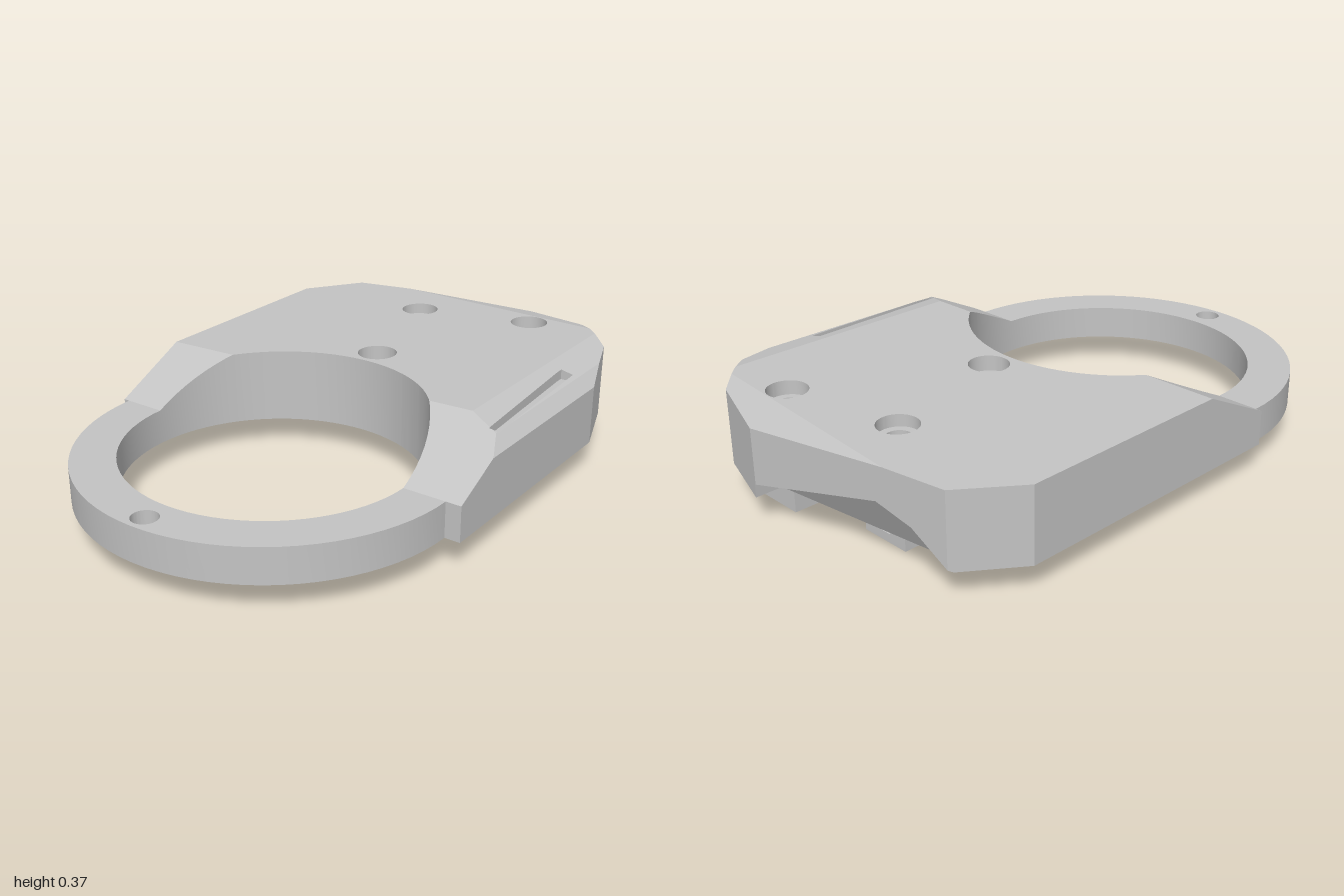
import * as THREE from 'three';
import { toCreasedNormals } from 'three/addons/utils/BufferGeometryUtils.js';

const gray = new THREE.MeshStandardMaterial({ color: 0xc4c4c4 });
gray.name = 'gray plastic';

// Arc points in plan, [x, z]
const arc = (x, z, r, n = 48, a0 = 0, a1 = Math.PI * 2) =>
  Array.from({ length: n + 1 }, (_, i) => {
    const a = a0 + (a1 - a0) * i / n;
    return [x + r * Math.cos(a), z + r * Math.sin(a)];
  });
const circle = (x, z, r, n = 48) => arc(x, z, r, n).slice(0, n);

// Plan points as shape points, wound the given way round
function wound(pts, clockwise) {
  const v = pts.map(([x, z]) => new THREE.Vector2(x, -z));
  return THREE.ShapeUtils.isClockWise(v) === clockwise ? v : v.reverse();
}

// Upright prism from a plan outline, with holes
function prism(outline, holes, y0, y1) {
  const shape = new THREE.Shape(wound(outline, false));
  shape.holes = holes.map(h => new THREE.Path(wound(h, true)));
  const g = new THREE.ExtrudeGeometry(shape, { depth: y1 - y0, bevelEnabled: false });
  g.rotateX(-Math.PI / 2);
  g.translate(0, y0, 0);
  return g;
}

// Cut every triangle along the vertical plane f(x, z) = 0
function splitTriangles(tris, f) {
  const out = [];
  for (const t of tris) {
    const d = t.map(p => f(p.x, p.z));
    if (d.every(v => v > -1e-6) || d.every(v => v < 1e-6)) { out.push(t); continue; }
    for (const s of [1, -1]) {
      const poly = [];
      for (let i = 0; i < 3; i++) {
        const j = (i + 1) % 3;
        if (d[i] * s >= 0) poly.push(t[i]);
        if (d[i] * d[j] < 0) {
          // cut from a fixed side so neighbouring edges agree
          const [p, q] = d[i] > 0 ? [i, j] : [j, i];
          poly.push(t[p].clone().lerp(t[q], d[p] / (d[p] - d[q])));
        }
      }
      for (let i = 1; i + 1 < poly.length; i++) out.push([poly[0], poly[i], poly[i + 1]]);
    }
  }
  return out;
}

// Upper facets: ramp, deck, two front chamfers, end chamfer
const deck = (x, z) => 0.362 + 0.017 * z;
const RING_TOP = 0.22, BASE = 0.10;
const topPlanes = [
  x => RING_TOP + 0.48 * (x + 0.36),
  deck,
  (x, z) => 0.371 - 0.226 * (z - 0.52),
  (x, z) => 0.345 - (z - 0.635),
  (x, z) => deck(x, z) - 0.245 * (x - 0.888 + 0.0625 * z),
];
// Facets of the hollow under the end edge
const hollowPlanes = [
  (x, z) => 0.147 + 0.2 * (0.18 - z),
  (x, z) => 0.2 + 0.35 * (z + 0.42),
  (x, z) => BASE + 0.77 * (z + 0.55),
  (x, z) => BASE + 2 * (x - 0.88 - 0.13 * z),
  (x, z) => BASE + 20 * (0.18 - z),
];
const lowest = (planes, x, z) => Math.min(...planes.map(p => p(x, z)));
const topAt = (x, z) => Math.max(RING_TOP, lowest(topPlanes, x, z));
const bottomAt = (x, z) => Math.max(BASE, lowest(hollowPlanes, x, z));

// Unit prism cut along all facet borders, then fitted between bottom and top
function facetedBody(outline, holes) {
  const pos = prism(outline, holes, 0, 1).toNonIndexed().attributes.position;
  let tris = [];
  for (let i = 0; i < pos.count; i += 3)
    tris.push([0, 1, 2].map(k => new THREE.Vector3().fromBufferAttribute(pos, i + k)));
  for (const planes of [[() => RING_TOP, ...topPlanes], [() => BASE, ...hollowPlanes]])
    for (let i = 0; i < planes.length; i++)
      for (let j = 0; j < i; j++)
        tris = splitTriangles(tris, (x, z) => planes[i](x, z) - planes[j](x, z));
  const pts = tris.flat().map(p =>
    new THREE.Vector3(p.x, THREE.MathUtils.lerp(bottomAt(p.x, p.z), topAt(p.x, p.z), p.y), p.z));
  return new THREE.BufferGeometry().setFromPoints(pts);
}

export function createModel() {
  const group = new THREE.Group();
  group.name = 'ringBracket';
  const add = (name, geometry) => {
    const flat = geometry.index ? geometry.toNonIndexed() : geometry;
    flat.computeVertexNormals();
    const mesh = new THREE.Mesh(toCreasedNormals(flat, 0.15), gray);
    mesh.name = name;
    group.add(mesh);
  };

  // Ring and deck in one body
  const outline = [
    ...arc(-0.36, -0.018, 0.64, 40, Math.PI / 2, Math.PI * 1.5),
    [-0.36, -0.68], [0.68, -0.68], [0.87, -0.54], [1, 0.17],
    [0.92, 0.42], [0.75, 0.59], [0.5, 0.675], [-0.36, 0.675],
  ];
  const groove = [[-0.09, 0.605], [0.43, 0.572], [0.455, 0.572], [0.455, 0.615], [-0.09, 0.638]];
  const screws = [[0.71, -0.155], [0.8, 0.265]];
  const blind = circle(0.22, -0.018, 0.068);
  add('body', facetedBody(outline, [
    circle(-0.36, -0.018, 0.493, 80),
    circle(-0.94, -0.018, 0.043),
    blind, groove,
    ...screws.map(([x, z]) => circle(x, z, 0.067)),
  ]));

  // Floors of the blind hole and the groove
  add('blindHoleFloor', prism(blind, [], BASE, 0.31));
  add('grooveFloor', prism(groove, [], BASE, 0.325));

  // Ledges inside the counterbored screw holes
  for (const [x, z] of screws)
    add('screwLedge', prism(circle(x, z, 0.067), [circle(x, z, 0.042)], BASE, 0.32));

  // Square posts below the screw holes
  const post = (x, z) => [
    [x - 0.07, z - 0.0925], [x + 0.068, z - 0.0925],
    [x + 0.068, z + 0.0925], [x - 0.07, z + 0.0925],
  ];
  const [[bx, bz], [fx, fz]] = screws;
  add('frontPost', prism(post(fx, fz), [circle(fx, fz, 0.042)], 0, BASE));

  // Back post has a slot in its outer side that opens into the bore
  const bore = [circle(bx, bz, 0.042)];
  add('backPostFoot', prism(post(bx, bz), bore, 0, 0.03));
  add('backPostTop', prism(post(bx, bz), bore, 0.08, BASE));
  const half = Math.asin(0.023 / 0.042);
  const [p0, p1, p2, p3] = post(bx, bz);
  add('backPostSlot', prism([
    p0, p1, [p1[0], bz - 0.023],
    ...arc(bx, bz, 0.042, 40, -half, half - Math.PI * 2),
    [p1[0], bz + 0.023], p2, p3,
  ], [], 0.03, 0.08));

  return group;
}
